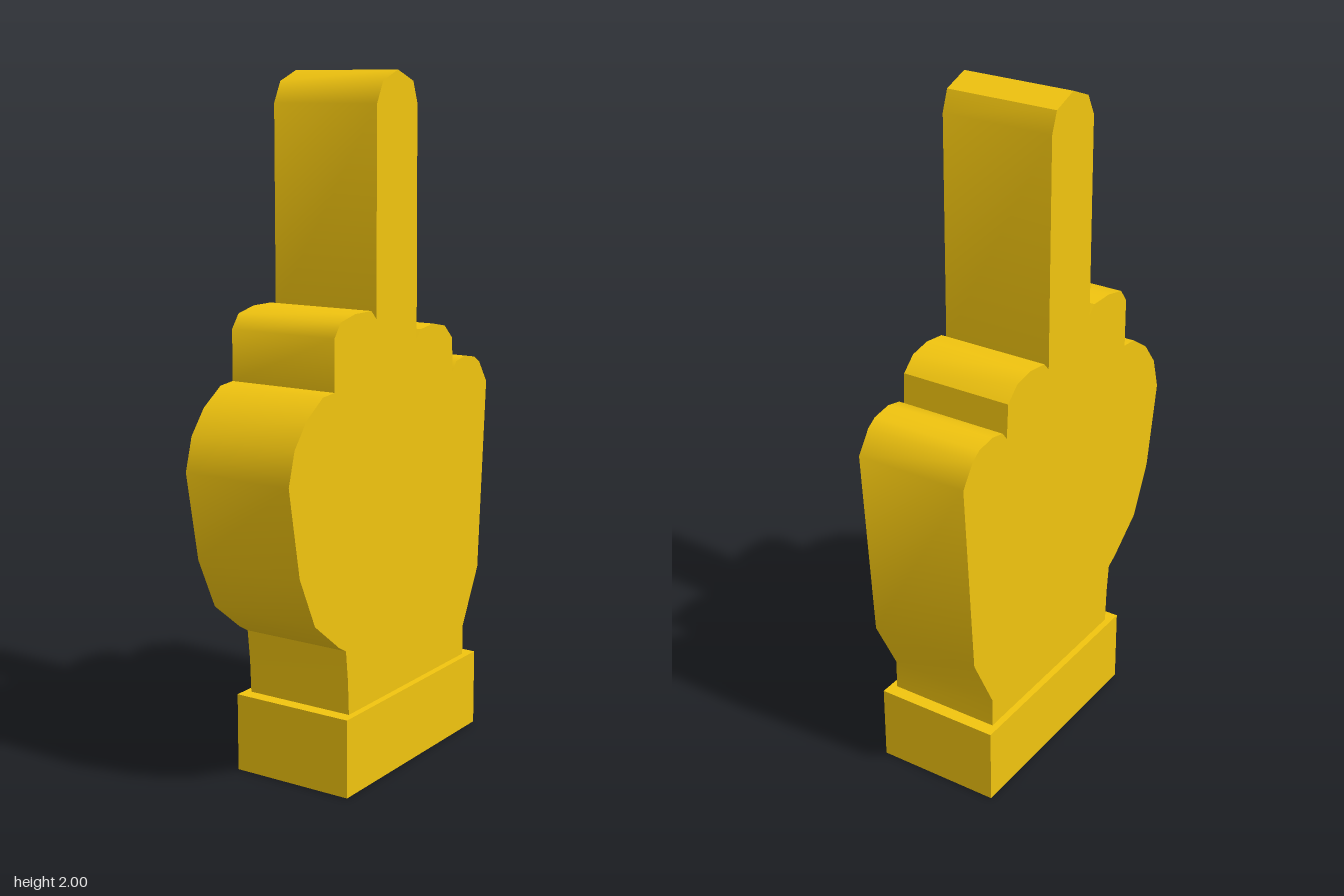
import * as THREE from 'three';
import { toCreasedNormals } from 'three/addons/utils/BufferGeometryUtils.js';

export function createModel() {
  const group = new THREE.Group();
  group.name = 'handStatue';
  const material = new THREE.MeshStandardMaterial({ color: 0xf1c40f });

  // Hand silhouette as [z, y] points, running from the wrist up the thumb side
  const wristFront = [[0.24, 0.22], [0.245, 0.33], [0.255, 0.42]];
  const thumb = [[0.29, 0.44], [0.405, 0.53], [0.475, 0.68], [0.522, 0.935],
    [0.495, 1.03], [0.44, 1.1], [0.365, 1.15], [0.31, 1.155]];
  const indexKnuckle = [[0.31, 1.3], [0.28, 1.34], [0.21, 1.355], [0.13, 1.355], [0.105, 1.33]];
  const raisedFinger = [[0.105, 1.91], [0.075, 1.97], [0, 2],
    [-0.08, 1.97], [-0.102, 1.91], [-0.108, 1.25]];
  const ringKnuckle = [[-0.13, 1.275], [-0.2, 1.283], [-0.265, 1.27], [-0.308, 1.23], [-0.315, 1.13]];
  const littleKnuckle = [[-0.335, 1.155], [-0.385, 1.165], [-0.445, 1.155], [-0.475, 1.135], [-0.52, 1.07]];
  const wristBack = [[-0.482, 0.49], [-0.395, 0.32], [-0.395, 0.22]];

  const outline = [...wristFront, ...thumb, ...indexKnuckle, ...raisedFinger,
    ...ringKnuckle, ...littleKnuckle, ...wristBack];
  const shape = new THREE.Shape(outline.map(([z, y]) => new THREE.Vector2(z, y)));

  // Extrude across the width, then turn so the outline lies in the z-y plane
  const width = 0.34;
  const handGeometry = new THREE.ExtrudeGeometry(shape, { depth: width, bevelEnabled: false });
  handGeometry.translate(0, 0, -width / 2);
  handGeometry.rotateY(-Math.PI / 2);
  const hand = new THREE.Mesh(toCreasedNormals(handGeometry, THREE.MathUtils.degToRad(42)), material);
  hand.name = 'hand';
  group.add(hand);

  // Cuff block that serves as the base
  const cuff = new THREE.Mesh(new THREE.BoxGeometry(0.38, 0.23, 0.715), material);
  cuff.name = 'cuff';
  cuff.position.set(0, 0.115, -0.0775);
  group.add(cuff);

  return group;
}
